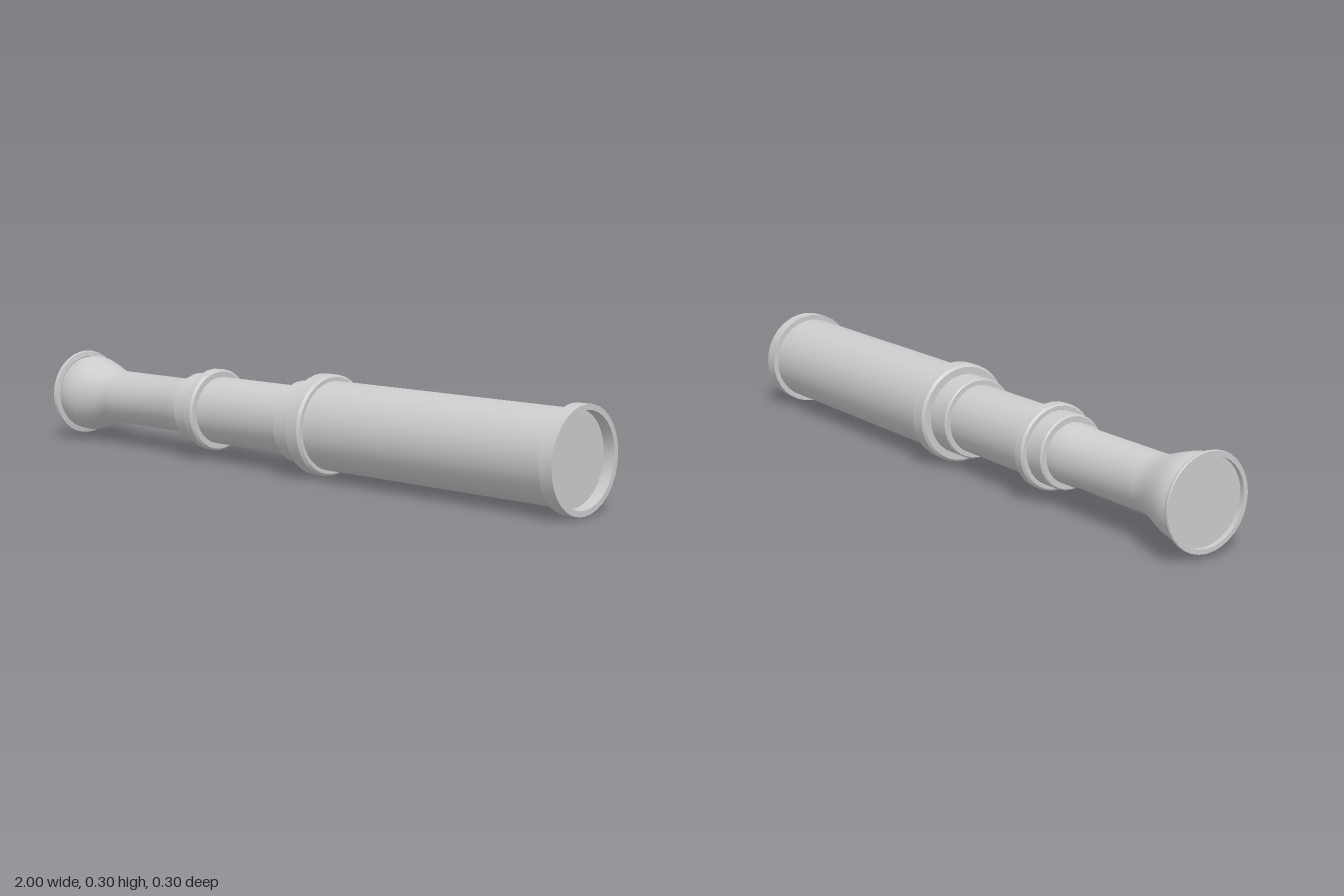
import * as THREE from 'three';
import { toCreasedNormals } from 'three/addons/utils/BufferGeometryUtils.js';

const SIDES = 32;
const material = new THREE.MeshStandardMaterial({ color: 0xcccccc });

// Turned part along x; profile is a list of [x, radius] running towards +x on the outside
function turned(name, profile) {
  const points = profile.map(([x, r]) => new THREE.Vector2(r, x));
  const geometry = new THREE.LatheGeometry(points, SIDES);
  geometry.rotateZ(-Math.PI / 2);
  const mesh = new THREE.Mesh(toCreasedNormals(geometry, 0.5), material);
  mesh.name = name;
  return mesh;
}

// Solid band with small bevelled edges
function band(name, x0, x1, r, bevel) {
  return turned(name, [
    [x0, 0], [x0, r - bevel], [x0 + bevel, r],
    [x1 - bevel, r], [x1, r - bevel], [x1, 0],
  ]);
}

// Flat glass disc facing along x
function lens(name, x, r, direction) {
  const mesh = new THREE.Mesh(new THREE.CircleGeometry(r, SIDES), material);
  mesh.rotation.y = direction * Math.PI / 2;
  mesh.position.x = x;
  mesh.name = name;
  return mesh;
}

export function createModel() {
  const spyglass = new THREE.Group();
  spyglass.name = 'spyglass';

  spyglass.add(
    // Eyepiece: thin flange around a recessed lens, then a flared bell
    turned('eyepieceRim', [
      [-0.985, 0.121], [-1, 0.121], [-1, 0.134], [-0.996, 0.136],
      [-0.988, 0.134], [-0.985, 0.118],
    ]),
    lens('eyeLens', -0.986, 0.122, -1),
    turned('eyepieceBell', [
      [-0.986, 0.116], [-0.965, 0.12], [-0.945, 0.121], [-0.925, 0.117],
      [-0.89, 0.106], [-0.85, 0.091], [-0.825, 0.084], [-0.8, 0.083],
    ]),
    // Draw tubes and barrel
    turned('smallTube', [[-0.8, 0.083], [-0.51, 0.083], [-0.5, 0.087], [-0.44, 0.087]]),
    turned('middleTube', [[-0.37, 0.102], [0, 0.102]]),
    turned('mainBarrel', [[0.1, 0.13], [0.965, 0.13]]),
    // Joints between the tubes
    band('smallCollar', -0.45, -0.38, 0.107, 0.004),
    band('smallRing', -0.387, -0.35, 0.125, 0.006),
    band('largeCollar', -0.01, 0.07, 0.12, 0.004),
    band('largeRing', 0.065, 0.122, 0.148, 0.007),
    // Objective end: raised rim and recessed lens
    turned('objectiveRim', [
      [0.96, 0.125], [0.96, 0.146], [1, 0.146], [1, 0.13], [0.963, 0.13],
    ]),
    lens('objectiveLens', 0.966, 0.131, 1),
  );

  spyglass.position.y = 0.148;
  const model = new THREE.Group();
  model.add(spyglass);
  return model;
}
